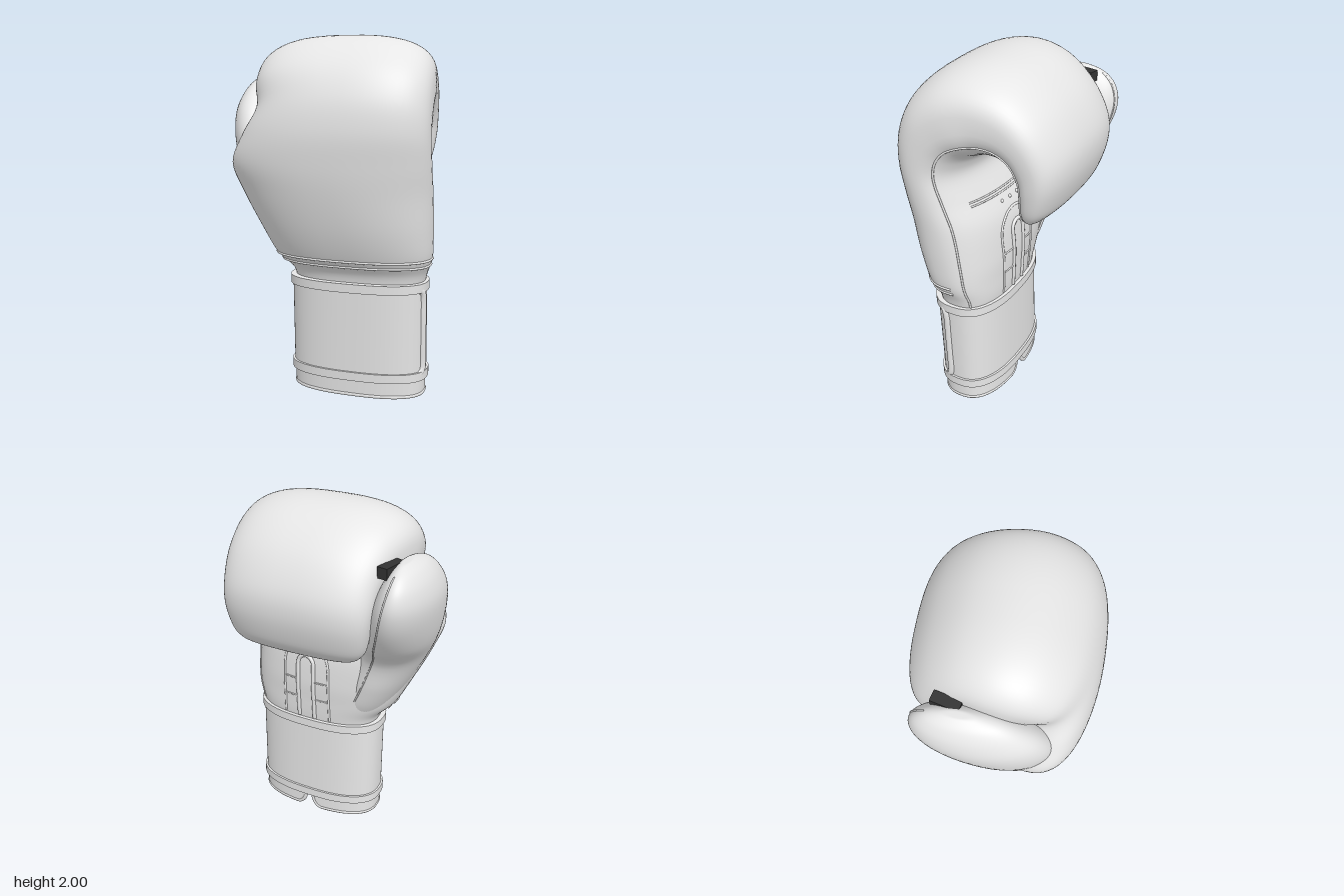
import * as THREE from 'three';
import { toCreasedNormals } from 'three/addons/utils/BufferGeometryUtils.js';

const SEG = 64;
const pow = (v, n) => Math.sign(v) * Math.abs(v) ** (2 / n);

// Resample rows of numbers with a Catmull-Rom spline on every column
function smoothRows(rows, steps) {
  const out = [], last = rows.length - 1;
  for (let i = 0; i < last; i++) {
    const [p, q, r, s] = [-1, 0, 1, 2].map(k => rows[Math.min(last, Math.max(0, i + k))]);
    for (let k = 0; k < steps; k++) {
      const t = k / steps;
      out.push(q.map((b, c) => b + 0.5 * t * (r[c] - p[c] + t * (2 * p[c] - 5 * b + 4 * r[c] - s[c]
        + t * (3 * (b - r[c]) + s[c] - p[c])))));
    }
  }
  out.push(rows[last]);
  return out;
}

// Skin a stack of rings, optionally wrapping each ring and capping the last
function loft(rings, wrap = true, cap = false) {
  const n = rings[0].length, pts = rings.flat(), index = [];
  for (let i = 0; i < rings.length - 1; i++) {
    for (let j = 0; j < (wrap ? n : n - 1); j++) {
      const k = (j + 1) % n, a = i * n + j, b = i * n + k;
      index.push(a, a + n, b, b, a + n, b + n);
    }
  }
  if (cap) {
    const top = rings[rings.length - 1], base = (rings.length - 1) * n;
    const mid = top.reduce((s, p) => s.add(p), new THREE.Vector3()).divideScalar(n);
    for (let j = 0; j < n; j++) index.push(base + j, pts.length, base + (j + 1) % n);
    pts.push(mid);
  }
  const geo = new THREE.BufferGeometry().setFromPoints(pts);
  geo.setIndex(index);
  geo.computeVertexNormals();
  return geo;
}

const ringOf = fn => Array.from({ length: SEG }, (_, j) => fn(j / SEG * Math.PI * 2));

const tube = (pts, radius) =>
  new THREE.TubeGeometry(new THREE.CatmullRomCurve3(pts), pts.length * 3, radius, 8);

// Point on the oval cuff: angle 0 is +x, a quarter turn is the front
function cuffPoint(a, y, off) {
  const t = (y - 0.1) / 0.56;
  const zMin = -0.125 + 0.01 * t, zMax = 0.27 + 0.025 * t;
  return new THREE.Vector3(
    0.163 + (0.387 + off) * pow(Math.cos(a), 2.5), y,
    (zMin + zMax) / 2 + ((zMax - zMin) / 2 + off) * pow(Math.sin(a), 2.5));
}

export function createModel() {
  const group = new THREE.Group();
  const leather = new THREE.MeshStandardMaterial({ color: 0xe6e6e6, side: THREE.DoubleSide });
  const dark = new THREE.MeshStandardMaterial({ color: 0x333333 });
  leather.name = 'pale leather';
  dark.name = 'dark webbing';
  const add = (name, geo, mat = leather) => {
    const mesh = new THREE.Mesh(geo, mat);
    mesh.name = name;
    group.add(mesh);
    return mesh;
  };

  // Padded mitt curling over: outer z, outer y, inner z, inner y, x min, x max, squareness
  const mittRings = smoothRows([
    [0.26, 0.60, -0.10, 0.60, -0.20, 0.53, 2.5],
    [0.28, 0.70, -0.11, 0.69, -0.22, 0.55, 2.5],
    [0.34, 0.79, -0.115, 0.79, -0.31, 0.583, 2.4],
    [0.405, 0.95, -0.12, 0.93, -0.39, 0.592, 2.3],
    [0.46, 1.15, -0.10, 1.13, -0.485, 0.595, 2.2],
    [0.49, 1.32, -0.03, 1.28, -0.53, 0.597, 2.2],
    [0.50, 1.50, 0.03, 1.40, -0.45, 0.597, 2.25],
    [0.465, 1.68, 0.03, 1.47, -0.37, 0.595, 2.4],
    [0.37, 1.84, 0.00, 1.51, -0.40, 0.59, 2.6],
    [0.20, 1.96, -0.05, 1.525, -0.42, 0.58, 2.7],
    [0.00, 2.00, -0.09, 1.53, -0.41, 0.56, 2.7],
    [-0.20, 1.955, -0.14, 1.52, -0.38, 0.54, 2.6],
    [-0.37, 1.825, -0.18, 1.49, -0.355, 0.525, 2.5],
    [-0.475, 1.65, -0.20, 1.43, -0.345, 0.51, 2.5],
    [-0.495, 1.50, -0.205, 1.36, -0.33, 0.50, 2.5],
    [-0.455, 1.34, -0.21, 1.29, -0.30, 0.48, 2.4],
    [-0.40, 1.265, -0.235, 1.245, -0.25, 0.45, 2.4],
    [-0.35, 1.23, -0.265, 1.225, -0.18, 0.41, 2.4],
    [-0.31, 1.22, -0.30, 1.22, -0.10, 0.35, 2.4],
  ], 6).map(([oz, oy, iz, iy, x0, x1, n]) => ringOf(a => {
    const c = pow(Math.cos(a), n), s = pow(Math.sin(a), n) / 2;
    return new THREE.Vector3((x0 + x1) / 2 + (x1 - x0) / 2 * c,
      (oy + iy) / 2 + (oy - iy) * s, (oz + iz) / 2 + (oz - iz) * s);
  }));
  const mitt = add('mitt', loft(mittRings, true, true));

  // Thumb: y, x min, x max, z min, z max
  const thumbRings = smoothRows([
    [0.76, -0.26, 0.02, -0.07, 0.23],
    [0.83, -0.31, 0.00, -0.09, 0.27],
    [0.95, -0.385, -0.04, -0.11, 0.31],
    [1.15, -0.49, -0.10, -0.14, 0.33],
    [1.30, -0.555, -0.17, -0.285, 0.33],
    [1.45, -0.59, -0.24, -0.38, 0.31],
    [1.58, -0.60, -0.29, -0.415, 0.25],
    [1.68, -0.575, -0.34, -0.395, 0.16],
    [1.75, -0.53, -0.385, -0.335, 0.06],
    [1.785, -0.48, -0.42, -0.25, -0.06],
    [1.79, -0.46, -0.44, -0.18, -0.13],
  ], 6).map(([y, x0, x1, z0, z1]) => ringOf(a => new THREE.Vector3(
    (x0 + x1) / 2 + (x1 - x0) / 2 * Math.cos(a), y,
    (z0 + z1) / 2 + (z1 - z0) / 2 * Math.sin(a))));
  add('thumb', loft(thumbRings, true, true));

  // Webbing that ties the thumb to the fingers
  const tab = add('thumbTie', new THREE.BoxGeometry(0.06, 0.06, 0.15), dark);
  tab.position.set(-0.388, 1.755, -0.225);
  tab.rotation.y = -0.22;

  // Piped seams along both sides of the mitt and the palm side of the thumb
  const every = (rings, j, from, to) => rings.slice(from, to).filter((_, i) => i % 3 === 0).map(r => r[j].clone());
  add('outerSeam', tube(every(mittRings, SEG - 4, 4), 0.006));
  add('innerSeam', tube(every(mittRings, SEG / 2 + 4, 66), 0.006));
  add('thumbSeam', tube(every(thumbRings, SEG * 3 / 4 + 2, 4, -9), 0.005));

  // Double piping across the front of the neck
  for (const i of [10, 12]) {
    const arc = Array.from({ length: SEG / 2 + 3 }, (_, j) => mittRings[i][(j + SEG - 1) % SEG].clone());
    add('neckPiping', tube(arc, 0.007));
  }

  // Palm stitching laid onto the mitt surface
  const ray = new THREE.Raycaster();
  mitt.updateMatrixWorld(true);
  const drape = list => list.map(([x, y]) => {
    ray.set(new THREE.Vector3(x, y, -0.17), new THREE.Vector3(0, 0, 1));
    const hit = ray.intersectObject(mitt)[0];
    return hit && hit.point;
  }).filter(Boolean);
  const arch = (half, top) => {
    const list = [];
    for (let i = 0; i <= 6; i++) list.push([0.17 - half, 0.67 + (top - half - 0.67) * i / 6]);
    for (let i = 1; i < 8; i++) {
      const a = Math.PI * (1 - i / 8);
      list.push([0.17 + half * Math.cos(a), top - half + half * Math.sin(a)]);
    }
    for (let i = 6; i >= 0; i--) list.push([0.17 + half, 0.67 + (top - half - 0.67) * i / 6]);
    return list;
  };
  add('palmArchOuter', tube(drape(arch(0.145, 1.16)), 0.007));
  add('palmArchInner', tube(drape(arch(0.05, 1.08)), 0.012));
  for (const y of [1.25, 1.27]) {
    add('palmCrossSeam', tube(drape(Array.from({ length: 9 }, (_, i) => [i * 0.055, y])), 0.005));
  }
  for (const side of [-1, 1]) for (const y of [0.80, 0.92]) {
    add('palmTack', tube(drape([[0.17 + side * 0.06, y], [0.17 + side * 0.1, y], [0.17 + side * 0.14, y]]), 0.005));
  }
  for (const p of drape([[0.1, 1.21], [0.17, 1.21], [0.24, 1.21]])) {
    add('ventEyelet', new THREE.SphereGeometry(0.01, 10, 8)).position.copy(p);
  }

  // Wrist strap with a raised band at each edge
  const strap = [[0.10, -0.02], [0.10, 0.012], [0.15, 0.012], [0.15, 0], [0.61, 0], [0.61, 0.012], [0.66, 0.012], [0.66, -0.03]];
  add('wristStrap', toCreasedNormals(loft(strap.map(([y, off]) => ringOf(a => cuffPoint(a, y, off)))), 0.6));

  // Rounded binding round the free end of the strap, sinking into the bands
  const binding = [[0.9, 0.635, -0.016], [0.6, 0.635, -0.016], [0.38, 0.63, -0.01], [0.22, 0.605, -0.004],
    [0.18, 0.56, -0.004], [0.18, 0.47, -0.004], [0.18, 0.38, -0.004]];
  const lower = binding.slice(0, -1).reverse().map(([a, y, off]) => [a, 0.76 - y, off]);
  add('strapEndBinding', tube([...binding, ...lower].map(p => cuffPoint(...p)), 0.022));

  // Inner cuff below the strap, split at the back with rounded corners
  const walls = [], lip = [];
  for (let i = 0; i <= 120; i++) {
    const u = i / 120, gap = 0.032;
    const a = -Math.PI / 2 + gap + (Math.PI * 2 - gap * 2) * u * u * (3 - 2 * u);
    const away = Math.cos(a + Math.PI / 2) > 0 ? Math.abs(cuffPoint(a, 0, 0).x - 0.163) : 1;
    const t = Math.min(1, Math.max(0, (away - 0.025) / 0.065));
    const y = 0.1 - 0.088 * Math.sqrt(1 - (1 - t) ** 2);
    walls.push([[0.62, -0.028], [y, -0.028], [y, -0.005], [0.12, -0.005]].map(([h, off]) => cuffPoint(a, h, off)));
    lip.push(cuffPoint(a, y, -0.012));
  }
  add('innerCuff', toCreasedNormals(loft(walls, false), 0.6));
  add('cuffLip', tube(lip, 0.012));

  return group;
}
